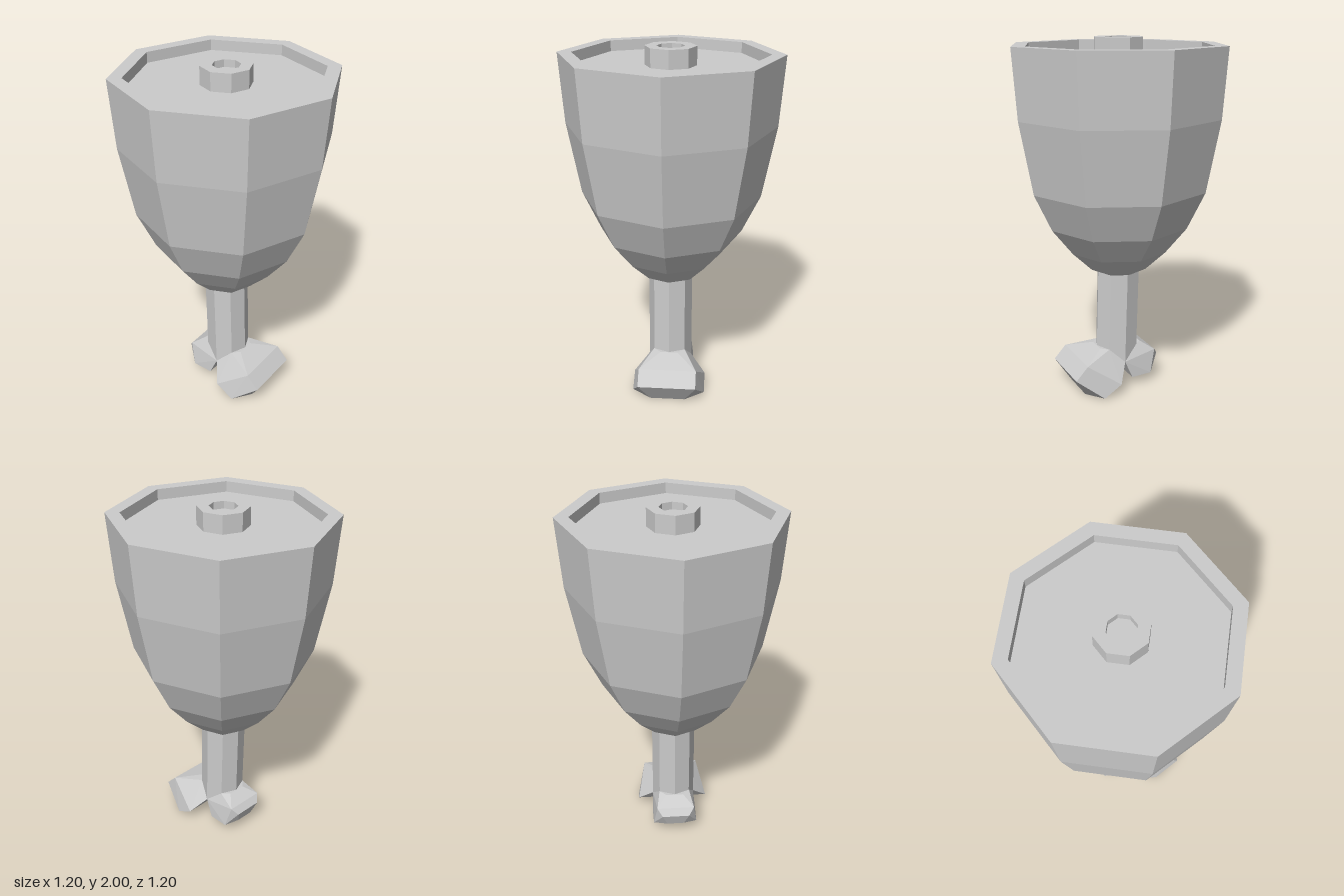
import * as THREE from 'three';
import { ConvexGeometry } from 'three/addons/geometries/ConvexGeometry.js';

const grey = new THREE.MeshStandardMaterial({ color: 0xcccccc, flatShading: true });
grey.name = 'plain grey';

function part(name, geometry) {
  const mesh = new THREE.Mesh(geometry, grey);
  mesh.name = name;
  return mesh;
}

// Eight-sided turned shape, profile given as [radius, y] running upwards on the outside
function turned(name, profile) {
  return part(name, new THREE.LatheGeometry(profile.map(([r, y]) => new THREE.Vector2(r, y)), 8));
}

// Faceted knob, symmetric from front to back, given as [x, y, half depth]
function knuckle(name, corners) {
  const points = [];
  for (const [x, y, z] of corners) {
    for (const s of [1, -1]) points.push(new THREE.Vector3(x, y, s * z));
  }
  return part(name, new ConvexGeometry(points));
}

export function createModel() {
  const model = new THREE.Group();
  model.name = 'drumstick';

  // Meat with a raised rim and a recessed cut face
  model.add(turned('meat', [
    [0, 0.69], [0.12, 0.69], [0.165, 0.71], [0.28, 0.82], [0.4, 0.97], [0.5, 1.18],
    [0.575, 1.58], [0.602, 1.96], [0.525, 1.96], [0.525, 1.9], [0, 1.9],
  ]));

  // Cut end of the bone, with a shallow marrow hollow
  model.add(turned('boneEnd', [
    [0.138, 1.9], [0.138, 2], [0.075, 2], [0.075, 1.96], [0, 1.96],
  ]));

  // Shaft leaning slightly sideways towards its foot
  const shaft = new THREE.CylinderGeometry(0.125, 0.125, 0.55, 8);
  shaft.translate(0, 0.435, 0);
  const pos = shaft.attributes.position;
  for (let i = 0; i < pos.count; i++) {
    if (pos.getY(i) < 0.4) pos.setX(i, pos.getX(i) + 0.015);
  }
  model.add(part('boneShaft', shaft));

  // Two knuckles splayed apart at the foot, one larger
  model.add(knuckle('largeKnuckle', [
    [0.015, 0.16, 0.125], [0.1, 0.24, 0.09], [0.14, 0.24, 0.05],
    [0.08, 0.07, 0.21], [0.27, 0.2, 0.165], [0.34, 0.125, 0.165],
    [0.185, 0.005, 0.21], [0.26, 0, 0.1],
  ]));
  model.add(knuckle('smallKnuckle', [
    [0.015, 0.16, 0.125], [-0.075, 0.24, 0.09], [-0.115, 0.24, 0.05],
    [-0.03, 0.055, 0.13], [-0.15, 0.06, 0.13], [-0.185, 0.075, 0.05],
    [-0.215, 0.155, 0.08], [-0.185, 0.195, 0.11],
  ]));

  return model;
}
